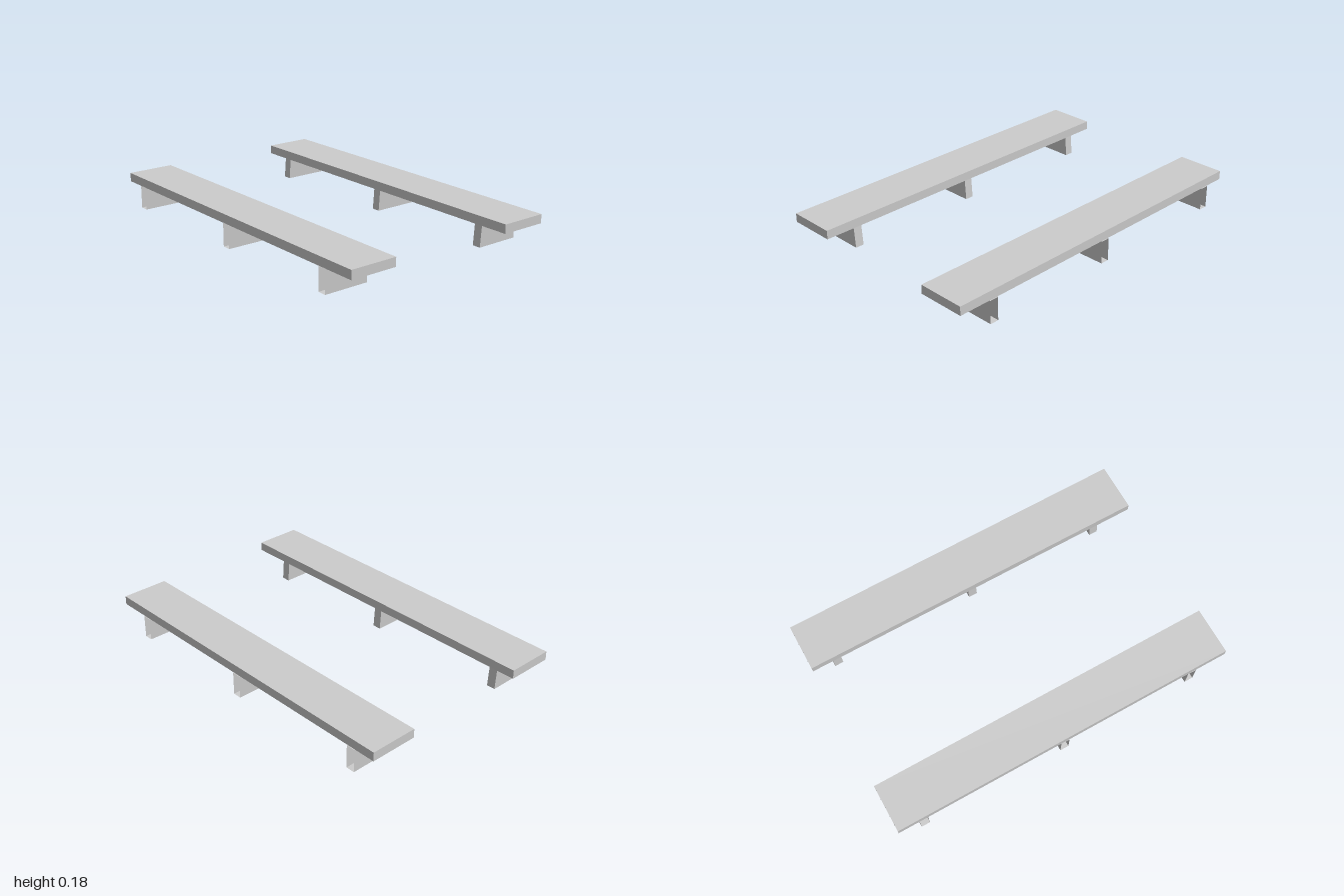
import * as THREE from 'three';

const material = new THREE.MeshStandardMaterial({ color: 0xcccccc, flatShading: true, side: THREE.DoubleSide });

const PLANK_BOTTOM = 0.13, PLANK_TOP = 0.18, SUPPORT_DEPTH = 0.05;

// Support block: hollow, open at its outer end, inner end leaning slightly inward at the foot.
// Built for the +x side; side = -1 mirrors it.
function supportGeometry(side) {
  const outer = 0.643, topIn = 0.396, footIn = 0.386, d = SUPPORT_DEPTH / 2;
  const section = [[outer, PLANK_BOTTOM], [topIn, PLANK_BOTTOM], [footIn, 0], [outer, 0]];
  const positions = [];
  for (const z of [d, -d]) for (const [x, y] of section) positions.push(side * x, y, z);
  const index = [0, 1, 2, 0, 2, 3, 4, 6, 5, 4, 7, 6];
  // top, inner end and bottom walls
  for (let i = 0; i < 3; i++) index.push(i, i + 4, i + 5, i, i + 5, i + 1);
  if (side < 0) index.reverse();
  const geometry = new THREE.BufferGeometry();
  geometry.setAttribute('position', new THREE.Float32BufferAttribute(positions, 3));
  geometry.setIndex(index);
  const flat = geometry.toNonIndexed();
  flat.computeVertexNormals();
  return flat;
}

// One long bench: plank on three supports
function createBench(side) {
  const bench = new THREE.Group();
  bench.name = side > 0 ? 'leftBench' : 'rightBench';

  const plank = new THREE.Mesh(new THREE.BoxGeometry(0.27, PLANK_TOP - PLANK_BOTTOM, 2), material);
  plank.name = 'plank';
  plank.position.set(side * 0.5045 - 0.0015, (PLANK_TOP + PLANK_BOTTOM) / 2, 0);
  bench.add(plank);

  const geometry = supportGeometry(side);
  for (const z of [0.79, -0.005, -0.853]) {
    const support = new THREE.Mesh(geometry, material);
    support.name = 'support';
    support.position.z = z;
    bench.add(support);
  }
  return bench;
}

export function createModel() {
  const model = new THREE.Group();
  model.name = 'benchPair';
  for (const side of [1, -1]) model.add(createBench(side));
  return model;
}
